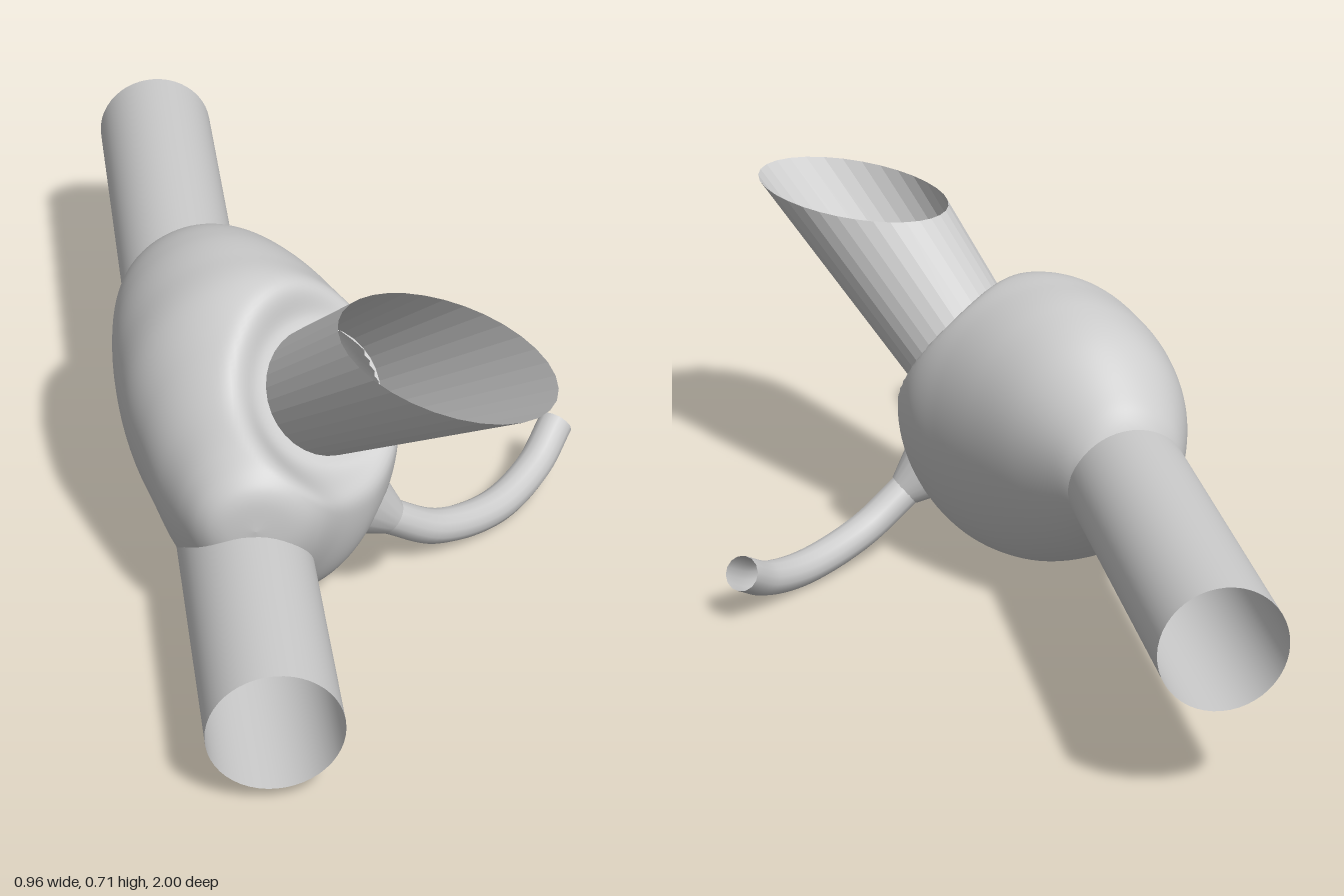
import * as THREE from 'three';

const V = (x, y, z) => new THREE.Vector3(x, y, z);

// Body cross-sections from back to front: z, x min, x max, y min, y max
const SECTIONS = [
  [-0.275, -0.31, -0.31, 0.38, 0.38],
  [-0.265, -0.37, -0.23, 0.30, 0.43],
  [-0.24, -0.41, -0.20, 0.25, 0.49],
  [-0.20, -0.44, -0.165, 0.215, 0.535],
  [-0.10, -0.472, -0.09, 0.14, 0.615],
  [0.00, -0.485, -0.03, 0.08, 0.65],
  [0.10, -0.485, 0.02, 0.035, 0.66],
  [0.20, -0.475, 0.06, 0.015, 0.655],
  [0.30, -0.45, 0.062, 0.02, 0.60],
  [0.40, -0.42, 0.01, 0.035, 0.52],
  [0.48, -0.39, -0.07, 0.11, 0.46],
  [0.53, -0.36, -0.12, 0.18, 0.42],
  [0.555, -0.32, -0.17, 0.24, 0.38],
  [0.562, -0.25, -0.25, 0.31, 0.31],
];

// Straight ports along z, and the slanted port that flares towards its cut end
const FRONT = { x: -0.26, y: 0.166, r: 0.132, end: 1 };
const BACK = { x: -0.32, y: 0.347, r: 0.125, end: -1 };
const SLANT = {
  base: V(-0.085, 0.45, 0.296),
  dir: V(0.68, 1, 1.13).normalize(),
  r: 0.13, flare: 0.06, cutY: 0.718,
};

// Surface joining a list of closed rings of points
function loft(rings) {
  const n = rings[0].length, index = [];
  for (let i = 0; i < rings.length - 1; i++) {
    for (let j = 0; j < n; j++) {
      const k = (j + 1) % n;
      const a = i * n + j, b = i * n + k, c = a + n, d = b + n;
      index.push(a, b, d, a, d, c);
    }
  }
  const geo = new THREE.BufferGeometry().setFromPoints(rings.flat());
  geo.setIndex(index);
  geo.computeVertexNormals();
  return geo;
}

const ring = (n, fn) => Array.from({ length: n }, (_, i) => fn((i / n) * Math.PI * 2));

function bodyGeometry() {
  // Smooth interpolation through the sections, three values per curve
  const curveA = new THREE.CatmullRomCurve3(SECTIONS.map(s => V(s[0], s[1], s[2])), false, 'catmullrom', 0.5);
  const curveB = new THREE.CatmullRomCurve3(SECTIONS.map(s => V(s[0], s[3], s[4])), false, 'catmullrom', 0.5);
  const rows = 130, rings = [];
  for (let i = 0; i <= rows; i++) {
    const a = curveA.getPoint(i / rows), b = curveB.getPoint(i / rows);
    rings.push(ring(110, t => {
      const s = Math.sin(t);
      const p = V(
        (a.y + a.z) / 2 + Math.cos(t) * (a.z - a.y) / 2 * (1 + 0.08 * s * Math.abs(Math.cos(t))),
        (b.y + b.z) / 2 + s * (b.z - b.y) / 2, a.x);
      // Flatten the seat of the slanted port
      const { base, dir } = SLANT, q = p.clone().sub(base), h = q.dot(dir);
      if (h > 0) {
        const rad = q.addScaledVector(dir, -h).length();
        p.addScaledVector(dir, -h * (1 - THREE.MathUtils.smoothstep(rad, 0.145, 0.25)));
      }
      return p;
    }));
  }
  return loft(rings);
}

// Remove the faces that lie inside the ports
function openPorts(geo) {
  const pos = geo.attributes.position, p = V(), inside = [];
  for (let i = 0; i < pos.count; i++) {
    p.fromBufferAttribute(pos, i);
    const q = p.clone().sub(SLANT.base), h = q.dot(SLANT.dir);
    const rad = q.addScaledVector(SLANT.dir, -h).length();
    inside.push(
      p.z > 0.3 && Math.hypot(p.x - FRONT.x, p.y - FRONT.y) < FRONT.r ? 1 :
      p.z < 0 && Math.hypot(p.x - BACK.x, p.y - BACK.y) < BACK.r ? 2 :
      h > -0.03 && rad < SLANT.r ? 3 : 0);
  }
  const old = geo.index.array, kept = [];
  for (let i = 0; i < old.length; i += 3) {
    const [a, b, c] = [old[i], old[i + 1], old[i + 2]];
    if (!(inside[a] && inside[b] && inside[c])) kept.push(a, b, c);
  }
  geo.setIndex(kept);
}

export function createModel() {
  const group = new THREE.Group();
  const smooth = new THREE.MeshStandardMaterial({ color: 0xcccccc, side: THREE.DoubleSide });
  const faceted = new THREE.MeshStandardMaterial({ color: 0xcccccc, side: THREE.DoubleSide, flatShading: true });
  const add = (name, geo, mat = smooth) => {
    const mesh = new THREE.Mesh(geo, mat);
    mesh.name = name;
    group.add(mesh);
    return mesh;
  };

  // Hollow rounded body
  const body = add('body', bodyGeometry());
  body.updateMatrixWorld();

  // Straight ports, each trimmed to the body surface
  const caster = new THREE.Raycaster();
  for (const [name, port] of [['frontPort', FRONT], ['backPort', BACK]]) {
    const side = Math.sign(port.end);
    const outer = ring(48, t => V(port.x + port.r * Math.cos(t), port.y + port.r * Math.sin(t), port.end));
    const inner = outer.map(p => {
      caster.set(p, V(0, 0, -side));
      const hit = caster.intersectObject(body)[0];
      return V(p.x, p.y, (hit ? hit.point.z : 0.2 * side) - 0.006 * side);
    });
    add(name, loft(side > 0 ? [inner, outer] : [outer, inner]));
  }

  // Slanted port, cut level at the top
  const { base, dir, r, flare, cutY } = SLANT;
  const u = V(0, 1, 0).cross(dir).normalize(), v = dir.clone().cross(u);
  const spokes = ring(32, t => u.clone().multiplyScalar(Math.cos(t)).addScaledVector(v, Math.sin(t)));
  const seat = spokes.map(s => base.clone().addScaledVector(s, r).addScaledVector(dir, -0.006));
  const rim = spokes.map((s, i) => {
    const g = dir.clone().addScaledVector(s, flare);
    return seat[i].clone().addScaledVector(g, (cutY - seat[i].y) / g.y);
  });
  add('slantedPort', loft([seat, rim]), faceted);

  openPorts(body.geometry);

  // Thin curved duct with an open end
  const path = new THREE.CatmullRomCurve3([
    V(0.04, 0.143, 0.302), V(0.15, 0.07, 0.25), V(0.285, 0.04, 0.155),
    V(0.385, 0.066, 0.055), V(0.445, 0.118, -0.025),
  ]);
  add('curvedDuct', new THREE.TubeGeometry(path, 32, 0.037, 14, false));

  // Tapered collar joining the duct to the body
  const from = V(-0.04, 0.21, 0.31), to = V(0.05, 0.136, 0.298);
  const axis = to.clone().sub(from);
  const collar = add('ductCollar', new THREE.CylinderGeometry(0.038, 0.09, axis.length(), 20, 1, true));
  collar.position.copy(from).add(to).multiplyScalar(0.5);
  collar.quaternion.setFromUnitVectors(V(0, 1, 0), axis.normalize());

  return group;
}
